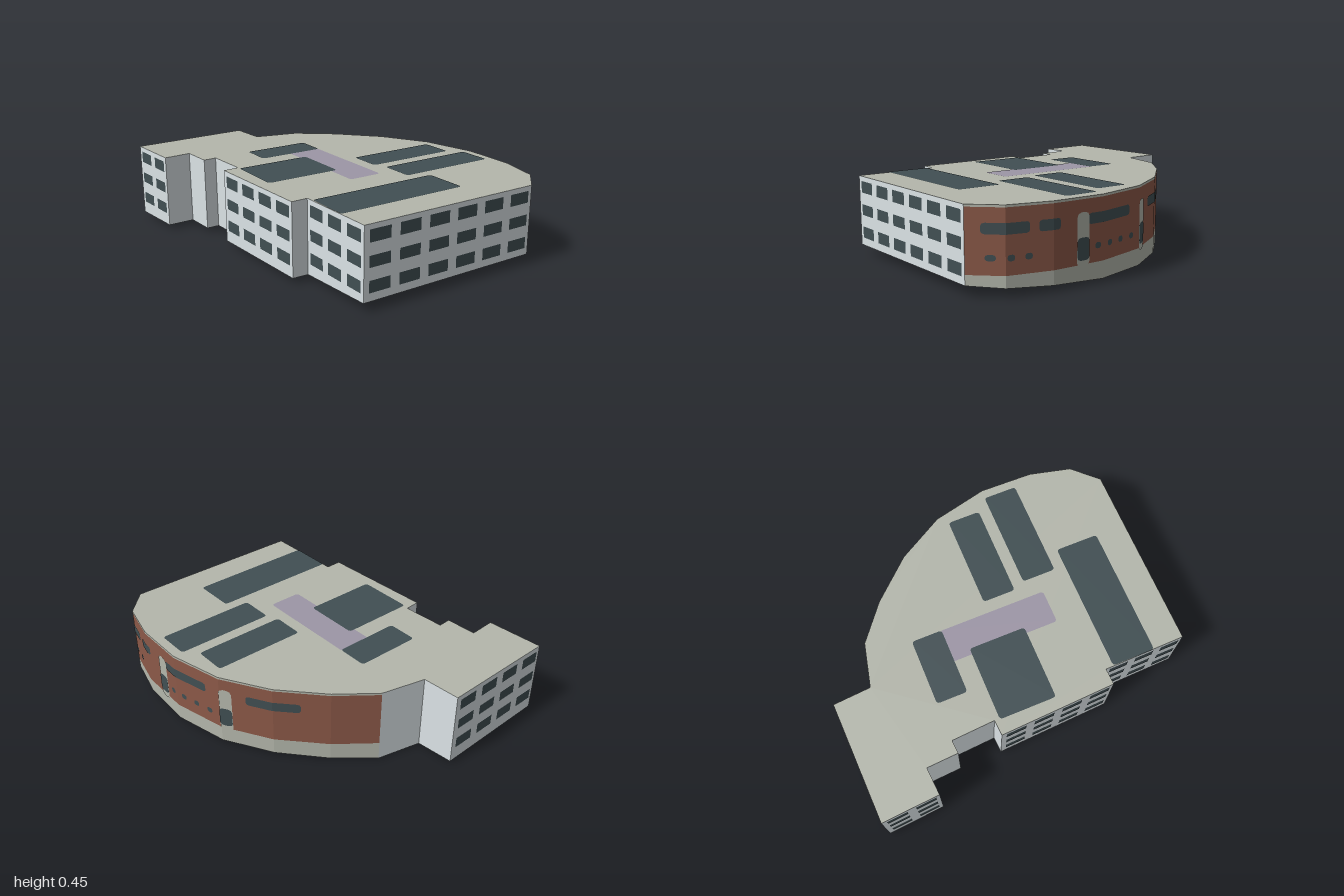
import * as THREE from 'three';

const mat = (name, color) => {
  const m = new THREE.MeshStandardMaterial({ color });
  m.name = name;
  return m;
};

const TOP = 0.445;
// Footprint corners, clockwise seen from above: x, z, ground height
const PLAN = [
  [-0.757, -1.0, 0.022], [-0.062, -0.975, 0.013], [-0.062, -0.757, 0.004],
  [0.185, -0.682, 0.0], [0.378, -0.507, 0.008], [0.57, -0.267, 0.014], [0.705, 0.01, 0.015],
  [0.757, 0.33, 0.016], [0.73, 0.637, 0.033], [0.656, 0.87, 0.047], [0.511, 1.0, 0.055],
  [-0.57, 0.922, 0.051], [-0.545, 0.447, 0.03], [-0.638, 0.443, 0.032], [-0.62, -0.233, 0.026],
  [-0.53, -0.233, 0.025], [-0.527, -0.484, 0.024], [-0.603, -0.484, 0.025],
  [-0.6, -0.667, 0.025], [-0.757, -0.667, 0.027],
];
const ARC_START = 3, ARC_END = 10; // corners of the curved brick side
const WINDOW_ROWS = [[0.096, 0.16], [0.226, 0.287], [0.353, 0.418]];

function surface(name, positions, material) {
  const g = new THREE.BufferGeometry();
  g.setAttribute('position', new THREE.Float32BufferAttribute(positions, 3));
  g.computeVertexNormals();
  const mesh = new THREE.Mesh(g, material);
  mesh.name = name;
  return mesh;
}

// Upright quad from a to b (x, z), pushed outward; each end has its own low and high y
function quad(out, a, b, la, ha, lb, hb, push = 0) {
  const dx = b[0] - a[0], dz = b[1] - a[1], len = Math.hypot(dx, dz);
  const ox = (dz / len) * push, oz = (-dx / len) * push;
  const p = (q, y) => [q[0] + ox, y, q[1] + oz];
  const A = p(a, la), B = p(b, lb), C = p(b, hb), D = p(a, ha);
  out.push(...B, ...A, ...D, ...B, ...D, ...C);
}

// Flat lid over the footprint, facing up or down
function cap(name, heightOf, up, material) {
  const pts = PLAN.map(([x, z]) => new THREE.Vector2(x, z));
  const out = [];
  for (const tri of THREE.ShapeUtils.triangulateShape(pts, [])) {
    const area = THREE.ShapeUtils.area(tri.map((i) => pts[i]));
    const order = area < 0 === up ? tri : [...tri].reverse();
    for (const i of order) out.push(PLAN[i][0], heightOf(PLAN[i]), PLAN[i][1]);
  }
  return surface(name, out, material);
}

// Point on the curved side at a given z, moved out sideways by push
function arcPoint(z, push) {
  let i = ARC_START;
  while (i < ARC_END - 1 && z > PLAN[i + 1][1]) i++;
  const a = PLAN[i], b = PLAN[i + 1];
  return [a[0] + ((b[0] - a[0]) * (z - a[1])) / (b[1] - a[1]) + push, z];
}

// Round-cornered strip that bends with the curved side
function arcStrip(out, z0, z1, y0, y1, r, push) {
  const stops = [z0, z0 + r * 0.3, z0 + r, z1 - r, z1 - r * 0.3, z1];
  for (let i = ARC_START; i <= ARC_END; i++) {
    if (PLAN[i][1] > z0 && PLAN[i][1] < z1) stops.push(PLAN[i][1]);
  }
  stops.sort((a, b) => a - b);
  const inset = (z) => {
    const d = Math.max(0, r - Math.min(z - z0, z1 - z));
    return r - Math.sqrt(Math.max(0, r * r - d * d));
  };
  for (let i = 0; i + 1 < stops.length; i++) {
    const [s, e] = [stops[i], stops[i + 1]];
    if (e - s < 1e-5) continue;
    const m = inset(s), n = inset(e);
    quad(out, arcPoint(s, push), arcPoint(e, push), y0 + m, y1 - m, y0 + n, y1 - n);
  }
}

function roofPanel(name, x, z, w, d, lift, material) {
  const r = 0.02, a = w / 2, b = d / 2;
  const s = new THREE.Shape();
  s.moveTo(-a + r, -b).lineTo(a - r, -b).quadraticCurveTo(a, -b, a, -b + r);
  s.lineTo(a, b - r).quadraticCurveTo(a, b, a - r, b);
  s.lineTo(-a + r, b).quadraticCurveTo(-a, b, -a, b - r);
  s.lineTo(-a, -b + r).quadraticCurveTo(-a, -b, -a + r, -b);
  const mesh = new THREE.Mesh(new THREE.ShapeGeometry(s, 4).rotateX(-Math.PI / 2), material);
  mesh.name = name;
  mesh.rotation.y = -0.07;
  mesh.position.set(x, TOP + lift, z);
  return mesh;
}

export function createModel() {
  const wall = mat('pale wall', 0xdbe3e6);
  const stone = mat('grey stone', 0xb4b7ac);
  const brick = mat('brick', 0x8c5948);
  const glass = mat('dark glass', 0x414f53);
  const mauve = mat('mauve walkway', 0x9d96a6);
  const group = new THREE.Group();
  group.name = 'building';

  // Walls: plain ones, and the curved side with plinth, brick and coping
  const plain = [], bricks = [], stones = [];
  PLAN.forEach((a, i) => {
    const b = PLAN[(i + 1) % PLAN.length];
    if (i >= ARC_START && i < ARC_END) {
      quad(stones, a, b, a[2], 0.108, b[2], 0.108);
      quad(bricks, a, b, 0.108, 0.433, 0.108, 0.433);
      quad(stones, a, b, 0.433, TOP, 0.433, TOP);
    } else quad(plain, a, b, a[2], TOP, b[2], TOP);
  });
  group.add(surface('plainWalls', plain, wall));
  group.add(surface('brickWall', bricks, brick));
  group.add(surface('plinthAndCoping', stones, stone));
  group.add(cap('roof', () => TOP, true, stone));
  group.add(cap('underside', (p) => p[2], false, wall));

  // Window grids on the flat walls: back, front, and the right-hand faces
  const panes = [];
  for (const [i, count] of [[0, 4], [10, 6], [11, 3], [13, 4], [19, 2]]) {
    const a = PLAN[i], b = PLAN[(i + 1) % PLAN.length];
    const at = (t) => [a[0] + (b[0] - a[0]) * t, a[1] + (b[1] - a[1]) * t];
    for (let c = 0; c < count; c++) {
      for (const [lo, hi] of WINDOW_ROWS) {
        quad(panes, at((c + 0.13) / count), at((c + 0.83) / count), lo, hi, lo, hi, 0.002);
      }
    }
  }
  group.add(surface('wallWindows', panes, glass));

  // Curved side: long upper windows, small portholes, two arched entrances
  const strips = [], arches = [];
  for (const [z0, z1] of [[0.755, 0.95], [0.597, 0.71], [0.105, 0.425], [-0.385, -0.13]]) {
    arcStrip(strips, z0, z1, 0.305, 0.36, 0.014, 0.003);
  }
  for (const z of [0.92, 0.845, 0.76, 0.365, 0.275, 0.182, 0.085]) {
    arcStrip(strips, z - 0.018, z + 0.018, 0.177, 0.208, 0.012, 0.003);
  }
  for (const [z0, z1] of [[0.422, 0.498], [-0.057, 0.011]]) {
    arcStrip(arches, z0, z1, 0.095, 0.37, 0.025, 0.004);
    arcStrip(strips, z0, z1, 0.13, 0.245, 0.02, 0.006);
  }
  group.add(surface('curvedWindowsAndDoors', strips, glass));
  group.add(surface('entranceArches', arches, stone));

  // Roof panels
  group.add(roofPanel('roofWalkway', -0.056, 0.03, 0.195, 0.63, 0.0015, mauve));
  const panels = [
    [-0.123, -0.368, 0.385, 0.177], [-0.333, -0.024, 0.435, 0.33], [0.375, 0.135, 0.54, 0.19],
    [0.407, 0.397, 0.58, 0.195], [-0.174, 0.643, 0.76, 0.25],
  ];
  panels.forEach(([x, z, w, d], i) => {
    group.add(roofPanel('roofPanel' + (i + 1), x, z, w, d, 0.003, glass));
  });
  return group;
}
